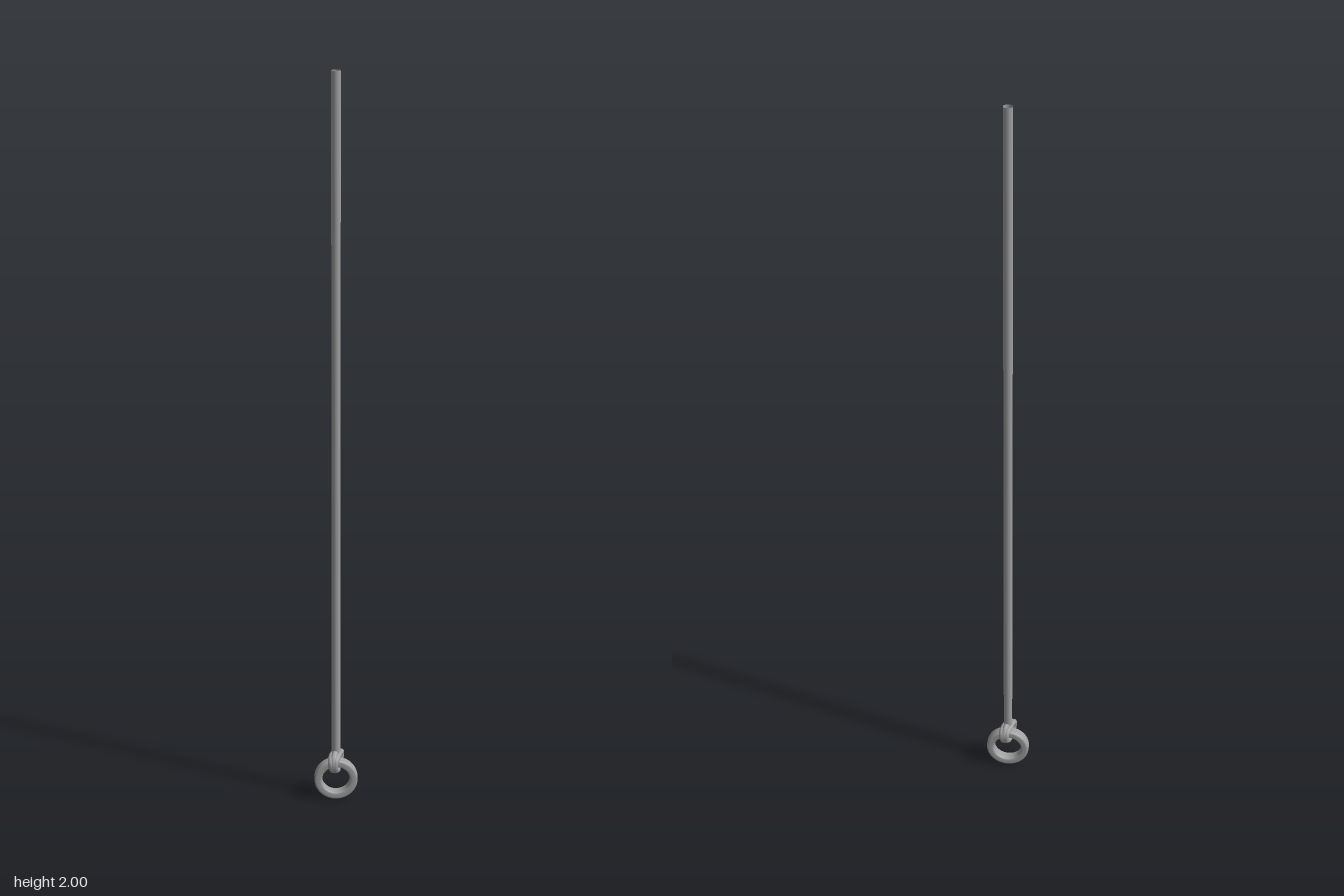
import * as THREE from 'three';

export function createModel() {
  const model = new THREE.Group();
  const material = new THREE.MeshStandardMaterial({ color: 0xa0a0a0, side: THREE.DoubleSide });
  const add = (parent, name, geometry) => {
    const mesh = new THREE.Mesh(geometry, material);
    mesh.name = name;
    parent.add(mesh);
    return mesh;
  };

  // Long straight cord, open at the top end
  const cord = add(model, 'cord', new THREE.CylinderGeometry(0.012, 0.012, 1.88, 20, 1, true));
  cord.position.y = 1.06;

  // Ring and knot share a frame turned 45 degrees: x along the ring, z through its hole
  const end = new THREE.Group();
  end.name = 'ringEnd';
  end.rotation.y = Math.PI / 4;
  model.add(end);

  // Ring: a wide band with a rounded section
  const section = [];
  const soft = (v) => Math.sign(v) * Math.abs(v) ** 0.5;
  for (let i = 0; i <= 32; i++) {
    const a = (i / 32) * Math.PI * 2;
    section.push(new THREE.Vector2(0.049 + 0.011 * soft(Math.cos(a)), 0.0155 * soft(Math.sin(a))));
  }
  const ring = add(end, 'ring', new THREE.LatheGeometry(section, 64));
  ring.rotation.x = Math.PI / 2;
  ring.position.y = 0.06;

  // Knot: three slanted turns of cord wrapped round the top of the ring,
  // the middle turn highest and all drawn together underneath
  const path = [];
  const turns = 3;
  for (let i = 0; i <= turns * 16; i++) {
    const t = i / 16;
    const a = t * Math.PI * 2 - Math.PI / 2;
    const c = Math.cos(a), s = Math.sin(a);
    const spread = (t - turns / 2) * 0.009;
    const rise = 0.028 - Math.abs(spread) * Math.max(s, 0);
    path.push(new THREE.Vector3(spread * (0.7 + 0.3 * s) + 0.01 * c, 0.115 + rise * s, -0.029 * c));
  }
  add(end, 'knot', new THREE.TubeGeometry(new THREE.CatmullRomCurve3(path), 180, 0.008, 12));

  return model;
}
